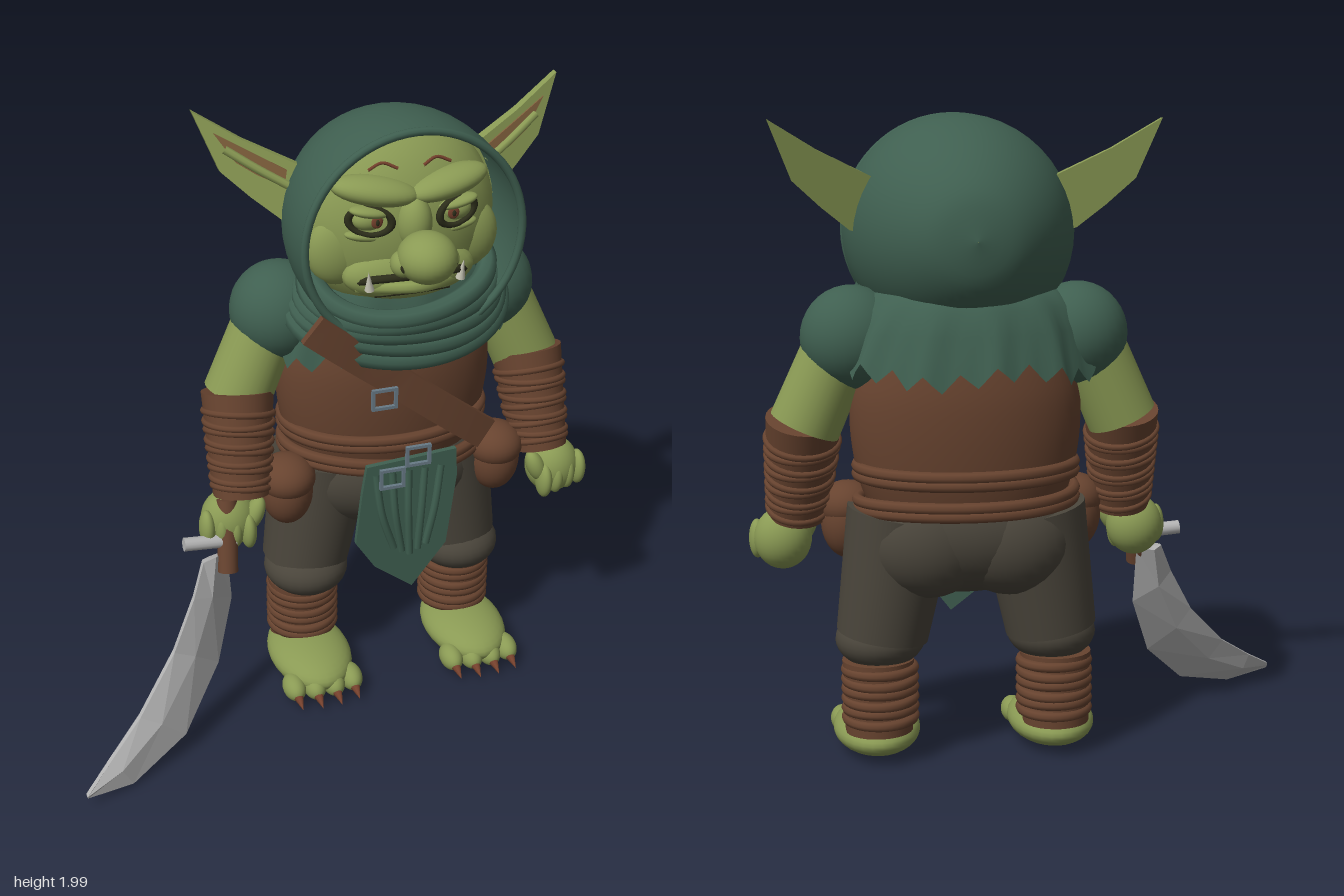
import * as THREE from 'three';

const mat = (name, color, side = THREE.FrontSide) => {
  const m = new THREE.MeshStandardMaterial({ color, side });
  m.name = name;
  return m;
};
const SKIN = mat('skin green', 0x8a9a54), CLOTH = mat('cloth green', 0x3f5f50, THREE.DoubleSide);
const LEATHER = mat('leather brown', 0x67432f), PANTS = mat('trouser brown', 0x4a453b);
const STEEL = mat('steel', 0xb2b2b2, THREE.DoubleSide), BUCKLE = mat('buckle grey', 0x687a86);
const DARK = mat('dark line', 0x2c2d1a), RED = mat('claw red brown', 0x74402c);
const IVORY = mat('ivory', 0xc4c2b2), EAR = mat('inner ear brown', 0x80603c);
const V = (a) => new THREE.Vector3(...a);

export function createModel() {
  const root = new THREE.Group();
  const body = new THREE.Group();
  body.name = 'body';
  body.position.x = 0.24;
  root.add(body);

  const add = (name, geo, m, pos = [0, 0, 0], rot = [0, 0, 0], parent = body) => {
    const mesh = new THREE.Mesh(geo, m);
    mesh.name = name;
    mesh.position.set(...pos);
    mesh.rotation.set(...rot);
    parent.add(mesh);
    return mesh;
  };
  const ball = (name, m, pos, r, rot) =>
    add(name, new THREE.SphereGeometry(1, 28, 18).scale(...r), m, pos, rot);
  const tube = (name, m, pts, r, closed = false) =>
    add(name, new THREE.TubeGeometry(new THREE.CatmullRomCurve3(pts.map(V), closed), closed ? 72 : 20, r, 8, closed), m);
  // closed band around the body, its height varying with the angle from the front
  const band = (name, m, rx, rz, cz, r, yAt) =>
    tube(name, m, Array.from({ length: 24 }, (_, i) => {
      const a = i / 24 * Math.PI * 2;
      return [rx * Math.sin(a), yAt(a), cz + rz * Math.cos(a)];
    }), r, true);
  // tapered limb between two points; returns a group whose y axis runs along it
  const limb = (name, m, a, b, ra, rb) => {
    const g = new THREE.Group(), d = V(b).sub(V(a)), len = d.length();
    g.name = name;
    g.position.copy(V(a).add(V(b)).multiplyScalar(0.5));
    g.quaternion.setFromUnitVectors(new THREE.Vector3(0, 1, 0), d.normalize());
    add(name + 'Core', new THREE.CylinderGeometry(rb, ra, len, 28), m, [0, 0, 0], [0, 0, 0], g);
    body.add(g);
    return g;
  };
  // skin over closed cross-sections
  const loft = (rings, flat) => {
    const n = rings[0].length, idx = [];
    for (let i = 0; i < rings.length - 1; i++) for (let j = 0; j < n; j++) {
      const a = i * n + j, b = i * n + (j + 1) % n;
      idx.push(a, a + n, b, b, a + n, b + n);
    }
    let g = new THREE.BufferGeometry();
    g.setAttribute('position', new THREE.Float32BufferAttribute(rings.flat(2), 3));
    g.setIndex(idx);
    if (flat) g = g.toNonIndexed();
    g.computeVertexNormals();
    return g;
  };
  const lathe = (pts) => new THREE.LatheGeometry(new THREE.SplineCurve(pts.map((p) => new THREE.Vector2(...p))).getPoints(30), 48);
  const shape = (pts) => new THREE.Shape(pts.map((p) => new THREE.Vector2(...p)));

  // Torso and hips
  add('torso', lathe([[0.3, 0.82], [0.335, 0.92], [0.355, 1.07], [0.345, 1.2], [0.29, 1.33], [0.16, 1.45]]).scale(1, 1, 0.62), LEATHER, [0, 0, -0.14]);
  ball('hips', PANTS, [0, 0.74, -0.14], [0.345, 0.2, 0.215]);

  // Hood, rim and scarf rolls
  add('hood', lathe([[0.35, -0.14], [0.356, -0.02], [0.342, 0.11], [0.295, 0.24], [0.22, 0.35], [0.125, 0.425], [0.001, 0.452]]).rotateX(-Math.PI / 2), CLOTH, [0, 1.645, 0]);
  add('hoodRim', new THREE.TorusGeometry(0.343, 0.013, 10, 64), CLOTH, [0, 1.645, 0.135]);
  for (let i = 0; i < 5; i++)
    band('scarfRoll', CLOTH, 0.28 + 0.014 * i, 0.165, 0.005 - 0.004 * i, 0.033,
      (a) => 1.51 - 0.036 * i - 0.1 * Math.cos(a) + 0.012 * Math.sin(2 * a + i));

  // Mantle with a ragged hem
  const mantle = [0, 0.25, 0.5, 0.75, 1].map((t) => Array.from({ length: 96 }, (_, k) => {
    const a = k / 96 * Math.PI * 2, e = Math.pow(t, 0.8), back = Math.cos(a) < 0;
    const f = 1 + 0.025 * t * Math.sin(a * 12);
    const tooth = t === 1 ? 0.05 * Math.abs((k % 4) - 2) / 2 + 0.015 * Math.sin(a * 5) : 0;
    return [(0.22 + 0.19 * e) * f * Math.sin(a), 1.49 - (back ? 0.22 : 0.235) * t * t - tooth,
      -0.14 + (0.17 + (back ? 0.13 : 0.07) * e) * f * Math.cos(a)];
  }));
  add('mantle', loft(mantle), CLOTH);

  // Head and face
  ball('head', SKIN, [0, 1.655, -0.08], [0.322, 0.31, 0.22]);
  ball('noseTip', SKIN, [0, 1.637, 0.24], [0.09, 0.077, 0.095]);
  ball('noseBridge', SKIN, [0, 1.7, 0.12], [0.055, 0.085, 0.06]);
  ball('muzzle', SKIN, [0, 1.53, 0.08], [0.21, 0.09, 0.08]);
  tube('mouthLine', DARK, [[-0.19, 1.51, 0.085], [-0.13, 1.54, 0.147], [0, 1.547, 0.17], [0.13, 1.54, 0.147], [0.19, 1.51, 0.085]], 0.013);
  tube('lowerLip', SKIN, [[-0.17, 1.497, 0.09], [0, 1.515, 0.175], [0.17, 1.497, 0.09]], 0.021);
  tube('chinFold', DARK, [[-0.12, 1.472, 0.118], [0, 1.486, 0.152], [0.12, 1.472, 0.118]], 0.006);
  for (const s of [-1, 1]) {
    ball('nostrilWing', SKIN, [s * 0.068, 1.617, 0.22], [0.038, 0.04, 0.045]);
    ball('nostril', DARK, [s * 0.076, 1.622, 0.26], [0.013, 0.017, 0.012]);
    ball('cheek', SKIN, [s * 0.205, 1.6, 0.025], [0.1, 0.115, 0.06]);
    ball('eyeball', SKIN, [s * 0.135, 1.72, 0.1], [0.052, 0.036, 0.035]);
    add('eyeRing', new THREE.TorusGeometry(0.058, 0.011, 8, 28).scale(1.12, 0.74, 1), DARK, [s * 0.137, 1.718, 0.118], [0, s * 0.3, s * 0.12]);
    ball('iris', RED, [s * 0.12, 1.72, 0.134], [0.018, 0.02, 0.006]);
    ball('pupil', DARK, [s * 0.12, 1.72, 0.14], [0.006, 0.01, 0.004]);
    ball('upperLid', SKIN, [s * 0.137, 1.748, 0.115], [0.065, 0.018, 0.035], [0, 0, s * 0.18]);
    ball('eyeBag', SKIN, [s * 0.14, 1.664, 0.095], [0.07, 0.018, 0.03], [0, 0, s * 0.15]);
    ball('brow', SKIN, [s * 0.115, 1.802, 0.09], [0.135, 0.044, 0.065], [0, s * 0.2, s * 0.16]);
    tube('foreheadWrinkle', RED, [[s * 0.04, 1.86, 0.083], [s * 0.085, 1.877, 0.07], [s * 0.13, 1.86, 0.073]], 0.005);
    add('tusk', new THREE.ConeGeometry(0.015, 0.065, 10), IVORY, [s * 0.148, 1.54, 0.15], [0.15, 0, -s * 0.1]);

    // Ear: a bent, tapering plate with a darker hollow
    const ear = (pts, depth, z0) => {
      const g = new THREE.ExtrudeGeometry(shape(pts.map(([x, y]) => [s * x, y])), { depth, bevelEnabled: false });
      const p = g.attributes.position;
      for (let i = 0; i < p.count; i++) {
        const x = Math.abs(p.getX(i)), y = p.getY(i);
        p.setZ(i, p.getZ(i) * (1.3 - x) + z0 - 0.14 - 0.17 * (x - 0.3) - 0.18 * (y - 1.8));
      }
      g.computeVertexNormals();
      return g;
    };
    add('ear', ear([[0.22, 1.62], [0.345, 1.66], [0.43, 1.73], [0.515, 1.81], [0.585, 1.99], [0.44, 1.9], [0.28, 1.82], [0.22, 1.8]], 0.035, -0.015), SKIN);
    add('earHollow', ear([[0.33, 1.76], [0.41, 1.8], [0.47, 1.84], [0.53, 1.93], [0.43, 1.872], [0.32, 1.81]], 0.006, 0.02), EAR);
    tube('earFold', SKIN, [[s * 0.32, 1.765, -0.11], [s * 0.41, 1.82, -0.135], [s * 0.5, 1.88, -0.165]], 0.013);

    // Arms
    ball('shoulder', CLOTH, [s * 0.345, 1.34, -0.145], [0.155, 0.158, 0.155]);
    limb('upperArm', SKIN, [s * 0.39, 1.3, -0.14], [s * 0.49, 1.07, -0.125], 0.105, 0.11);
    const fore = limb('bracer', LEATHER, [s * 0.492, 1.09, -0.115], [s * 0.515, 0.77, -0.01], 0.116, 0.09);
    for (let i = 0; i < 9; i++)
      add('bracerWrap', new THREE.TorusGeometry(0.11 - 0.0025 * i, 0.011, 8, 32), LEATHER, [0, -0.1 + i * 0.03, 0], [Math.PI / 2 + (i % 2 ? 0.07 : -0.07), 0.06, 0], fore);
    ball('hand', SKIN, [s * 0.56, 0.695, -0.005], [0.09, 0.098, 0.085]);
    for (let i = 0; i < 4; i++)
      ball('finger', SKIN, [s * (0.51 + 0.043 * i), 0.67 + 0.006 * i, 0.052 - 0.008 * i], [0.026, 0.062, 0.042]);
    ball('thumb', SKIN, [s * 0.485, 0.72, 0.035], [0.03, 0.06, 0.035], [0, 0, s * 0.4]);

    // Legs
    limb('thigh', PANTS, [s * 0.2, 0.8, -0.15], [s * 0.265, 0.41, -0.14], 0.17, 0.143);
    ball('buttock', PANTS, [s * 0.13, 0.71, -0.21], [0.19, 0.17, 0.148]);
    ball('knee', PANTS, [s * 0.27, 0.39, -0.115], [0.14, 0.092, 0.145]);
    limb('shin', LEATHER, [s * 0.28, 0.1, -0.145], [s * 0.28, 0.33, -0.14], 0.105, 0.112);
    for (let i = 0; i < 6; i++)
      add('shinWrap', new THREE.TorusGeometry(0.105, 0.017, 8, 36), LEATHER, [s * 0.275, 0.145 + 0.031 * i, -0.143], [Math.PI / 2 + (i % 2 ? 0.03 : -0.03), 0, 0]);
    ball('foot', SKIN, [s * 0.28, 0.078, -0.045], [0.137, 0.07, 0.212]);
    for (let i = 0; i < 4; i++) {
      const x = s * 0.28 + (i - 1.5) * 0.066, z = 0.125 - 0.012 * Math.abs(i - 1.5);
      ball('toe', SKIN, [x, 0.055, z], [0.038, 0.042, 0.06]);
      add('toeClaw', new THREE.ConeGeometry(0.022, 0.075, 10), RED, [x, 0.042, z + 0.068], [Math.PI / 2 + 0.25, 0, 0]);
    }

    // Belt pouches
    ball('pouch', LEATHER, [s * 0.358, 0.75, -0.03], [0.085, 0.12, 0.09]);
    ball('pouchFlap', LEATHER, [s * 0.358, 0.8, -0.025], [0.092, 0.075, 0.096]);
  }

  // Belts
  for (const [y, tilt] of [[0.933, 0], [0.84, -0.025]]) for (const o of [-0.013, 0.013])
    band('belt', LEATHER, 0.335, 0.245, -0.145, 0.018, (a) => y + o + tilt * Math.sin(a) * (1 + Math.cos(a)) / 2);

  // Chest strap standing slightly off the belly
  const strap = new THREE.BoxGeometry(0.76, 0.1, 0.025, 20, 1, 1).rotateZ(-0.68).translate(-0.03, 1.165, 0);
  const sp = strap.attributes.position;
  for (let i = 0; i < sp.count; i++) sp.setZ(i, sp.getZ(i) + 0.14 - 0.45 * sp.getX(i) ** 2 + (sp.getX(i) < -0.1 ? 0.25 * (-0.1 - sp.getX(i)) : 0));
  strap.computeVertexNormals();
  add('chestStrap', strap, LEATHER);

  // Buckles
  for (const [x, y, z] of [[-0.095, 1.135, 0.152], [0.022, 0.912, 0.15], [-0.065, 0.845, 0.155]]) {
    const frame = shape([[-0.042, -0.036], [0.042, -0.036], [0.042, 0.036], [-0.042, 0.036]]);
    frame.holes.push(new THREE.Path([[-0.032, -0.026], [-0.032, 0.026], [0.032, 0.026], [0.032, -0.026]].map((p) => new THREE.Vector2(...p))));
    add('buckle', new THREE.ExtrudeGeometry(frame, { depth: 0.012, bevelEnabled: false }), BUCKLE, [x, y, z]);
  }

  // Loincloth with hanging pleats
  add('loincloth', new THREE.ExtrudeGeometry(shape([[-0.14, 0.88], [-0.155, 0.78], [-0.175, 0.6], [-0.11, 0.5], [0.02, 0.4], [0.135, 0.55], [0.165, 0.8], [0.16, 0.9]]), { depth: 0.018, bevelEnabled: false }), CLOTH, [0, 0, 0.115]);
  for (let i = 0; i < 5; i++) {
    const x = -0.1 + 0.05 * i;
    tube('pleat', CLOTH, [[x * 1.1, 0.85, 0.13], [x * 0.9, 0.7, 0.138], [x * 0.55 + 0.01, 0.53 + 0.3 * Math.abs(x), 0.13]], 0.013);
  }

  // Curved sword held in the right hand
  const sword = new THREE.Group();
  sword.name = 'sword';
  root.add(sword);
  const grip = limb('grip', LEATHER, [-0.59, 0.55, 0.085], [-0.57, 0.78, 0.02], 0.033, 0.033);
  grip.position.x += 0.24;
  sword.add(grip);
  add('guard', new THREE.CylinderGeometry(0.022, 0.022, 0.17, 14), STEEL, [-0.4, 0.655, 0.06], [0, 0, Math.PI / 2 - 0.08], sword);
  // each section: outer edge x, y, z, then inner edge x, y, z
  const blade = [[-0.34, 0.6, 0.04, -0.43, 0.6, 0.08], [-0.33, 0.42, 0.045, -0.475, 0.5, 0.125], [-0.4, 0.23, 0.125, -0.56, 0.35, 0.185],
    [-0.55, 0.08, 0.27, -0.7, 0.2, 0.285], [-0.75, 0.02, 0.385, -0.82, 0.115, 0.37], [-0.905, 0.04, 0.435, -0.908, 0.058, 0.44]]
    .map(([ox, oy, oz, ix, iy, iz], i) => {
      const t = i === 5 ? 0.006 : 0.024;
      const mid = (k) => [ox * 0.4 + ix * 0.6 + k * 0.3, oy * 0.4 + iy * 0.6 + k * 0.4, oz * 0.4 + iz * 0.6 + k * 0.85];
      return [[ox, oy, oz], mid(t), [ix, iy, iz + 0.01], [ix, iy, iz - 0.01], mid(-t)];
    });
  const cap = (r) => r.map(() => [0, 1, 2].map((k) => r.reduce((sum, p) => sum + p[k], 0) / r.length));
  add('blade', loft([cap(blade[0]), ...blade, cap(blade[5])], true), STEEL, [0, 0, 0], [0, 0, 0], sword);

  return root;
}
